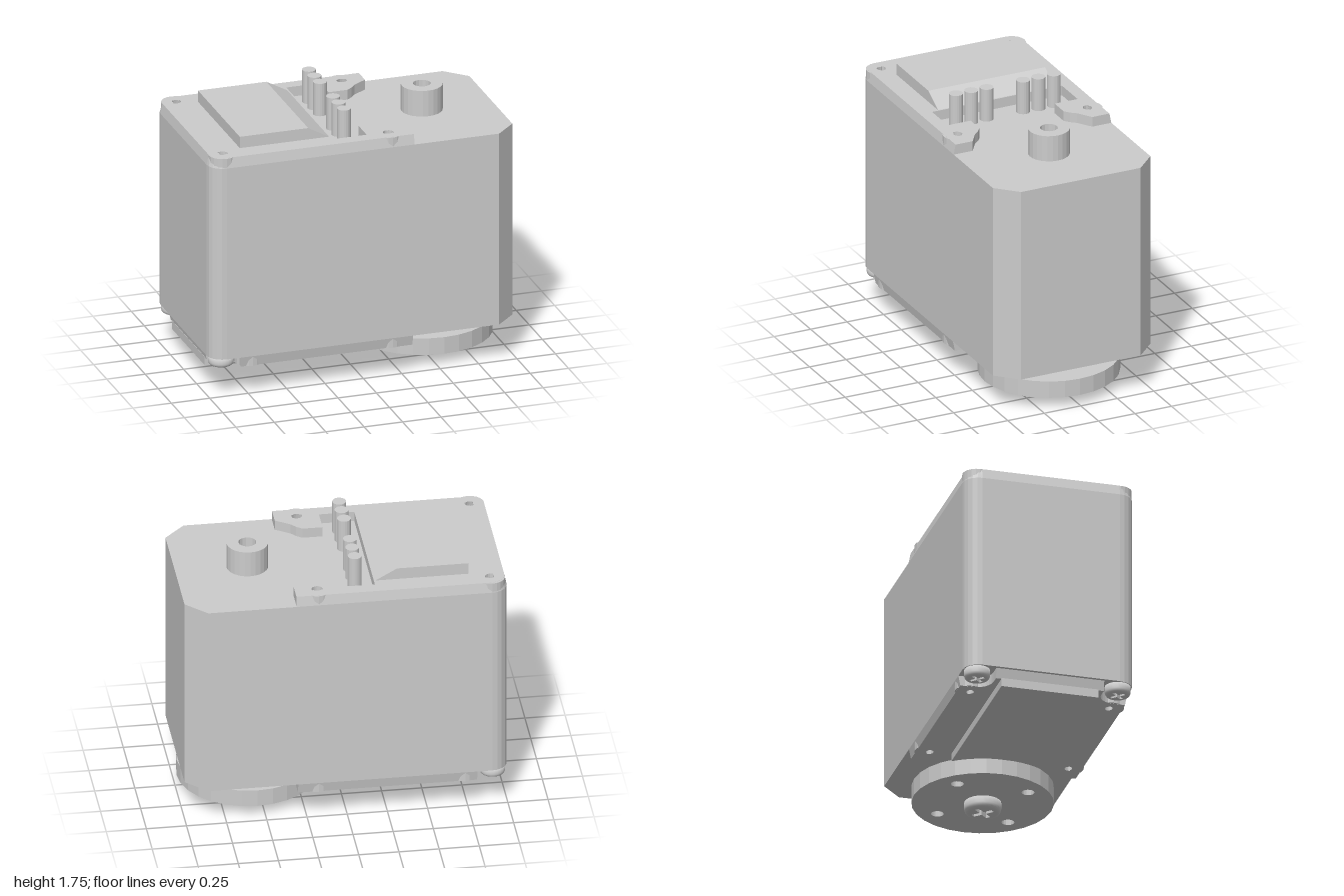
import * as THREE from 'three';

const V = (x, y) => new THREE.Vector2(x, y);
const BOT = 0.26, TOP = 1.53, AXIS = 0.55;

// Points on an arc, angles in degrees
function arc(cx, cz, r, a0, a1, n = 5) {
  return Array.from({ length: n + 1 }, (_, i) => {
    const a = THREE.MathUtils.degToRad(a0 + ((a1 - a0) * i) / n);
    return V(cx + r * Math.cos(a), cz + r * Math.sin(a));
  });
}

// Closes a half outline (z > 0) with its mirror image
function mirrored(half) {
  return new THREE.Shape([...half, ...half.map(p => V(p.x, -p.y)).reverse()]);
}

function circle(x, z, r, n = 16) {
  return arc(x, z, r, 0, 360, n).slice(0, -1);
}

// Extrudes an x-z outline between two heights
function plate(shape, y0, y1, holes = []) {
  holes.forEach(h => shape.holes.push(new THREE.Path(h)));
  const geo = new THREE.ExtrudeGeometry(shape, { depth: y1 - y0, bevelEnabled: false, curveSegments: 8 });
  return geo.rotateX(Math.PI / 2).translate(0, y1, 0);
}

// Draws in the outer edge of a plate at one height
function draft(geo, y, amount) {
  const p = geo.attributes.position;
  for (let i = 0; i < p.count; i++) {
    if (Math.abs(p.getY(i) - y) > 1e-4) continue;
    if (Math.abs(p.getZ(i)) > 0.47) p.setZ(i, p.getZ(i) - Math.sign(p.getZ(i)) * amount);
    if (p.getX(i) < -0.93) p.setX(i, p.getX(i) + amount);
  }
  geo.computeVertexNormals();
  return geo;
}

export function createModel() {
  const root = new THREE.Group();
  const mat = new THREE.MeshStandardMaterial({ color: 0xcccccc, flatShading: true });
  const smooth = new THREE.MeshStandardMaterial({ color: 0xcccccc });
  const add = (name, geo, parent = root, m = mat) => {
    const mesh = new THREE.Mesh(geo, m);
    mesh.name = name;
    parent.add(mesh);
    return mesh;
  };
  const cylinder = (name, x, z, r, y0, y1, n = 24) =>
    add(name, new THREE.CylinderGeometry(r, r, y1 - y0, n).translate(x, (y0 + y1) / 2, z));

  // Housing: rounded at one end, chamfered at the other
  const corner = arc(-0.9, 0.44, 0.1, 180, 90);
  add('housing', plate(mirrored([...corner, V(0.87, 0.54), V(1, 0.41)]), BOT, TOP));

  // Top cover with two arms around the pin pocket
  const topHoles = [], bottomHoles = [];
  for (const s of [-1, 1]) {
    for (const x of [-0.9, 0.18]) topHoles.push([x, s * 0.45]);
    for (const x of [-0.73, 0.18]) bottomHoles.push([x, s * 0.45]);
  }
  const topShape = mirrored([...corner, V(0.32, 0.54), V(0.32, 0.41), V(0.23, 0.35), V(0.2, 0.315),
    V(0.165, 0.288), V(0.04, 0.288), V(0.04, 0.445), V(-0.18, 0.445)]);
  add('topCover', draft(plate(topShape, TOP, 1.595, topHoles.map(([x, z]) => circle(x, z, 0.034))), 1.595, 0.013));

  // Raised lid with a sloping end
  const lid = new THREE.Shape([V(-0.77, 1.59), V(-0.18, 1.59), V(-0.325, 1.67), V(-0.77, 1.67)]);
  add('raisedLid', new THREE.ExtrudeGeometry(lid, { depth: 0.8, bevelEnabled: false }).translate(0, 0, -0.4));

  // Bottom cover, cut back around the corner screws and the horn
  const hornCut = arc(AXIS, 0, 0.49, 141, 180, 6).slice(0, -1);
  const bottomShape = mirrored([V(-0.98, 0.345), ...arc(-0.91, 0.45, 0.105, 270, 360, 6), V(-0.805, 0.54),
    V(0.31, 0.54), V(0.31, 0.41), V(0.23, 0.36), ...hornCut]);
  add('bottomCover', draft(plate(bottomShape, 0.195, BOT, bottomHoles.map(([x, z]) => circle(x, z, 0.03))), 0.195, 0.013));
  add('bottomPanel', plate(mirrored([V(-0.97, 0.31), ...hornCut]), 0.145, 0.2));

  // Round bosses around the cover holes
  const boss = (x, z, y0, y1) =>
    add('holeBoss', plate(new THREE.Shape(circle(x, z, 0.089, 20)), y0, y1, [circle(x, z, 0.034)]));
  topHoles.forEach(([x, z]) => boss(x, z, TOP, 1.594));
  bottomHoles.forEach(([x, z]) => boss(x, z, 0.196, BOT));

  // Connector pins
  for (const s of [-1, 1])
    for (const z of [0.125, 0.23, 0.335]) cylinder('pin', -0.07, s * z, 0.043, TOP, 1.745, 20);

  // Hollow post on the top
  add('topPost', plate(new THREE.Shape(circle(AXIS, 0, 0.13, 24)), TOP, 1.7, [circle(AXIS, 0, 0.055)]));

  // Output shaft and horn
  cylinder('outputShaft', AXIS, 0, 0.105, 0.2, BOT);
  cylinder('hornHub', AXIS, 0, 0.195, 0.17, 0.245);
  const hornHoles = [45, 135, 225, 315].map(a => {
    const p = arc(AXIS, 0, 0.32, a, a, 1)[0];
    return circle(p.x, p.y, 0.04);
  });
  add('horn', plate(new THREE.Shape(circle(AXIS, 0, 0.44, 28)), 0.07, 0.18, hornHoles));

  // Downward-facing screw heads with a cross recess
  function screw(name, x, z, r, y0, y1) {
    const g = new THREE.Group();
    g.name = name;
    g.position.set(x, y0, z);
    const h = y1 - y0, rim = r * 0.78, w = r * 0.13, l = r * 0.6, depth = h * 0.5;
    const edge = arc(rim, h * 0.4, 1, 270, 360, 5)
      .map(p => V(rim + (p.x - rim) * (r - rim), h * 0.4 + (p.y - h * 0.4) * h * 0.4));
    add('headRim', new THREE.LatheGeometry([...edge, V(r, h), V(0, h)], 24), g, smooth);
    const cross = [V(w, w), V(w, l), V(-w, l), V(-w, w), V(-l, w), V(-l, -w),
      V(-w, -w), V(-w, -l), V(w, -l), V(w, -w), V(l, -w), V(l, w)];
    add('headFace', plate(new THREE.Shape(circle(0, 0, rim, 24)), 0, depth, [cross]), g);
    add('recessFloor', new THREE.CircleGeometry(rim, 24).rotateX(Math.PI / 2).translate(0, depth - 0.002, 0), g);
    g.rotation.y = Math.PI / 4;
    root.add(g);
  }
  screw('hornScrew', AXIS, 0, 0.115, 0, 0.075);
  for (const s of [-1, 1]) screw('cornerScrew', -0.91, s * 0.45, 0.08, 0.2, BOT);

  return root;
}
